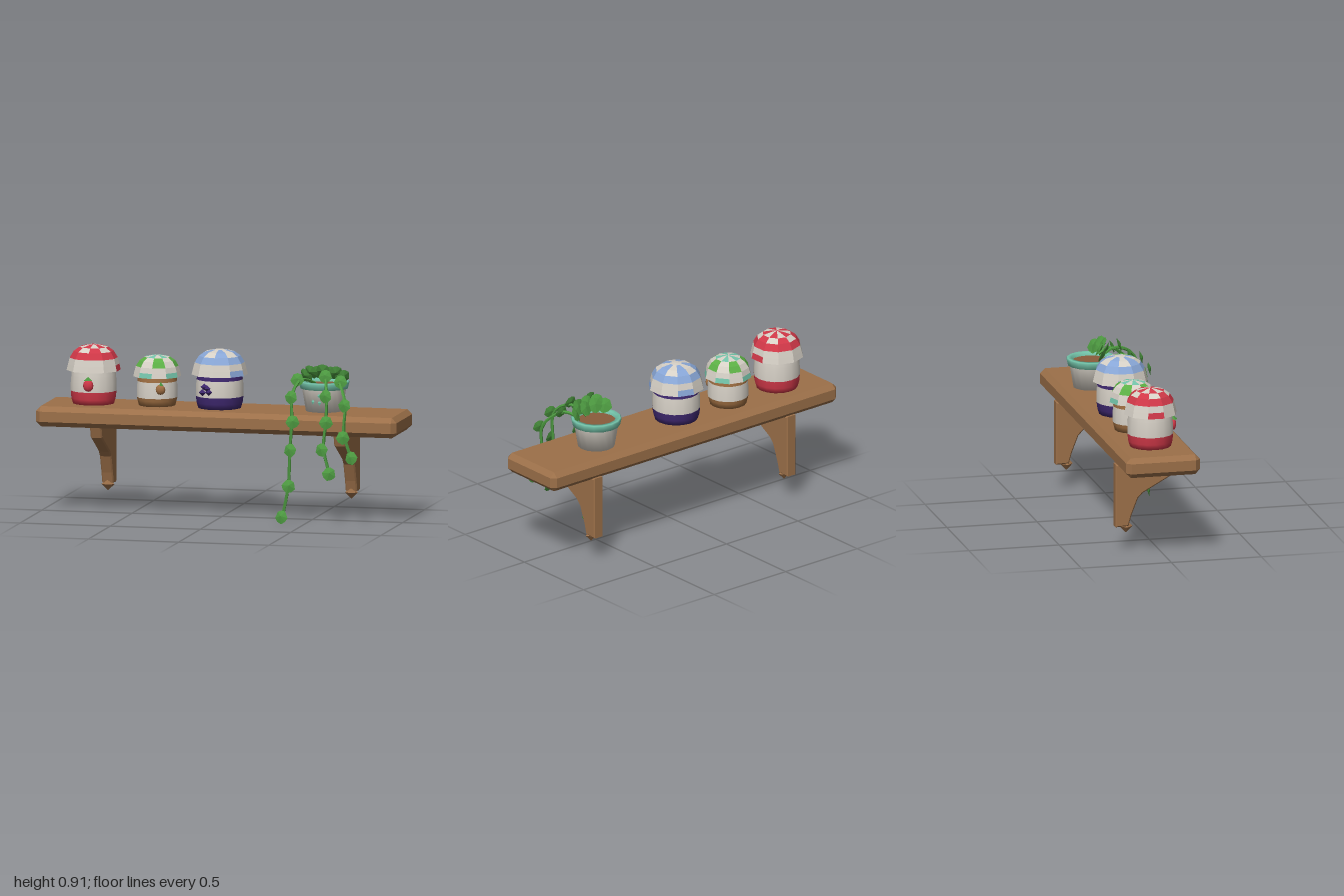
import * as THREE from 'three';
import { ConvexGeometry } from 'three/addons/geometries/ConvexGeometry.js';

const V3 = (x, y, z) => new THREE.Vector3(x, y, z);
const material = (name, color, flatShading = false) =>
  Object.assign(new THREE.MeshStandardMaterial({ color, flatShading }), { name });

export function createModel() {
  const wood = material('wood', 0x9c7049, true);
  const cream = material('cream', 0xd6d0c6);
  const red = material('red', 0xd03848);
  const green = material('green', 0x5cb045);
  const leafGreen = material('leaf green', 0x4c9840, true);
  const blue = material('blue', 0x88a6d6);
  const purple = material('purple', 0x3f2870);
  const teal = material('teal', 0x74c4aa);
  const brown = material('brown', 0xa06f42);
  const soilBrown = material('soil', 0x8a5c3c);

  const model = new THREE.Group();
  const add = (parent, name, geometry, mat, x = 0, y = 0, z = 0) => {
    const mesh = new THREE.Mesh(geometry, mat);
    mesh.name = name;
    mesh.position.set(x, y, z);
    parent.add(mesh);
    return mesh;
  };
  const group = (name, x = 0, y = 0, z = 0) => {
    const g = new THREE.Group();
    g.name = name;
    g.position.set(x, y, z);
    model.add(g);
    return g;
  };
  const lathe = (points, sides) =>
    new THREE.LatheGeometry(points.map(p => new THREE.Vector2(...p)), sides);

  // Box with all edges cut at an angle
  const chamferBox = (w, h, d, c) => {
    const points = [];
    for (const sx of [-1, 1]) for (const sy of [-1, 1]) for (const sz of [-1, 1]) {
      const [x, y, z] = [w / 2, h / 2, d / 2];
      points.push(V3(sx * x, sy * (y - c), sz * (z - c)),
        V3(sx * (x - c), sy * y, sz * (z - c)), V3(sx * (x - c), sy * (y - c), sz * z));
    }
    return new ConvexGeometry(points);
  };

  // Faceted lathe whose cells are painted by rule: paint(side, row)
  const paintedLathe = (points, sides, mats, paint) => {
    const geometry = lathe(points, sides);
    const rows = points.length - 1;
    for (let i = 0; i < sides; i++) for (let j = 0; j < rows; j++)
      geometry.addGroup((i * rows + j) * 6, 6, mats.indexOf(paint(i, j)));
    const flat = geometry.toNonIndexed();
    flat.computeVertexNormals();
    return flat;
  };

  // Shelf board
  add(model, 'shelfBoard', chamferBox(2, 0.11, 0.41, 0.027), wood, 0, 0.535, -0.04);

  // Brackets with a diamond knob
  const profile = new THREE.Shape([[-0.229, 0.143], [-0.17, 0.146], [-0.155, 0.2], [-0.118, 0.295],
    [-0.09, 0.325], [0.09, 0.425], [0.108, 0.478], [-0.229, 0.478]].map(p => new THREE.Vector2(...p)));
  const bracketGeometry = new THREE.ExtrudeGeometry(profile, {
    depth: 0.05, bevelEnabled: true, bevelThickness: 0.007, bevelSize: 0.007, bevelSegments: 1 });
  bracketGeometry.translate(0, 0, -0.025).rotateY(-Math.PI / 2);
  for (const x of [-0.675, 0.675]) {
    const bracket = group(x < 0 ? 'rightBracket' : 'leftBracket', x);
    add(bracket, 'bracketArm', bracketGeometry, wood);
    add(bracket, 'bracketKnob', new THREE.OctahedronGeometry(0.036), wood, 0, 0.133, -0.172);
  }

  // Jars: banded body and a domed, checked lid
  const makeJar = (name, x, z, r, rim, top, bandTop, base, collar, lidMats, paint) => {
    const jar = group(name, x, 0, z);
    const neck = rim - 0.025;
    add(jar, 'jarBase', lathe([[0, 0.59], [r * 0.9, 0.59], [r * 0.97, 0.62], [r, bandTop]], 16), base);
    add(jar, 'jarBody', lathe([[r, bandTop], [r, neck - 0.04], [r * 0.97, neck]], 16), cream);
    add(jar, 'jarCollar', lathe([[r * 0.97, neck], [r * 0.93, rim + 0.02]], 16), collar);
    const R = r * 1.17, h = top - rim;
    const lid = [[r * 0.85, rim + 0.01], [R, rim], [R * 0.95, rim + h * 0.23], [R * 0.89, rim + h * 0.48],
      [R * 0.74, rim + h * 0.74], [R * 0.53, rim + h * 0.9], [R * 0.2, rim + h * 0.98], [0, top]];
    add(jar, 'jarLid', paintedLathe(lid, 10, lidMats, paint), lidMats);
    return jar;
  };

  const redJar = makeJar('redJar', -0.725, -0.05, 0.125, 0.77, 0.91, 0.66, red, cream, [red, cream],
    (i, j) => j < 3 ? (j === 1 && i % 5 === 2 ? red : cream)
      : j === 3 ? red : (i + (j > 4 ? 1 : 0)) % 2 ? cream : red);
  const greenJar = makeJar('greenJar', -0.375, -0.06, 0.111, 0.747, 0.863, 0.635, brown, brown,
    [green, cream, teal],
    (i, j) => j === 1 ? (i % 2 ? teal : cream) : j < 3 ? cream
      : j < 5 ? (i % 2 ? cream : green) : (i % 2 ? teal : cream));
  const blueJar = makeJar('blueJar', -0.025, -0.045, 0.13, 0.77, 0.908, 0.655, purple, purple, [blue, cream],
    (i, j) => j === 1 ? (i % 3 === 1 ? blue : cream) : j < 3 ? cream
      : j === 3 ? blue : j === 6 ? cream : (i % 2 ? cream : blue));

  // Fruit emblems on the jar fronts
  const berry = add(redJar, 'strawberry', new THREE.SphereGeometry(0.029, 8, 6), red, 0, 0.7, 0.125);
  berry.scale.set(1, 1.15, 0.65);
  add(redJar, 'strawberryLeaf', new THREE.ConeGeometry(0.024, 0.02, 5), leafGreen, 0, 0.738, 0.127);
  const nut = add(greenJar, 'roundFruit', new THREE.SphereGeometry(0.028, 8, 6), brown, 0.042, 0.687, 0.102);
  nut.scale.z = 0.65;
  add(greenJar, 'fruitLeaf', new THREE.ConeGeometry(0.012, 0.022, 4), leafGreen, 0.046, 0.72, 0.105);
  for (const [x, y] of [[-0.065, 0.685], [-0.03, 0.688], [-0.055, 0.716], [-0.04, 0.708]])
    add(blueJar, 'grape', new THREE.OctahedronGeometry(0.02, 0), purple, x, y, 0.128);

  // Plant pot
  const pot = group('plantPot', 0.55, 0, -0.063);
  add(pot, 'potBody', lathe([[0, 0.59], [0.1, 0.59], [0.122, 0.72]], 16), cream);
  add(pot, 'potRim', lathe([[0.118, 0.715], [0.13, 0.713], [0.138, 0.745], [0.132, 0.752],
    [0.11, 0.752], [0.106, 0.722]], 16), teal);
  add(pot, 'soil', new THREE.CylinderGeometry(0.11, 0.11, 0.01, 16), soilBrown, 0, 0.727, 0);
  for (const [a, y] of [[-0.35, 0.65], [0, 0.685], [0.35, 0.65], [0, 0.645]]) {
    const r = 0.1 + (y - 0.59) * 0.17;
    const dot = add(pot, 'potDiamond', new THREE.OctahedronGeometry(0.014), teal,
      Math.sin(a) * r, y, Math.cos(a) * r);
    dot.scale.set(0.7, 1.1, 0.3);
    dot.rotation.y = a;
  }

  // Ivy: leaf is a pointed spade with a raised middle
  const leafGeometry = new ConvexGeometry([[0, 0.035], [0.022, 0.028], [0.038, -0.006], [0.024, -0.027],
    [0, -0.04], [-0.024, -0.027], [-0.038, -0.006], [-0.022, 0.028]].map(p => V3(...p, 0))
    .concat([V3(0, 0.004, 0.012), V3(0, 0.004, -0.007)]));
  const ivy = group('ivy');
  const addLeaf = (x, y, z, rx, ry = 0, rz = 0, s = 1) => {
    const leaf = add(ivy, 'ivyLeaf', leafGeometry, leafGreen, x, y, z);
    leaf.rotation.set(rx, ry, rz);
    leaf.scale.setScalar(s);
  };

  // Trailing stems with leaves along them
  const vines = [
    { path: [[0.51, 0.745, -0.01], [0.475, 0.775, 0.07], [0.45, 0.765, 0.14], [0.435, 0.7, 0.2],
      [0.437, 0.57, 0.212], [0.425, 0.4, 0.207], [0.415, 0.21, 0.202], [0.38, 0.035, 0.195]],
      leaves: [[0.437, 0.7, 0.228], [0.445, 0.565, 0.23], [0.43, 0.41, 0.225], [0.42, 0.212, 0.218], [0.378, 0.042, 0.208]] },
    { path: [[0.57, 0.745, -0.01], [0.59, 0.785, 0.07], [0.61, 0.765, 0.15], [0.628, 0.7, 0.205],
      [0.625, 0.57, 0.212], [0.612, 0.42, 0.21], [0.643, 0.285, 0.206]],
      leaves: [[0.628, 0.71, 0.23], [0.63, 0.567, 0.228], [0.605, 0.418, 0.226], [0.645, 0.287, 0.222]] },
    { path: [[0.62, 0.745, -0.01], [0.66, 0.77, 0.06], [0.695, 0.73, 0.13], [0.725, 0.66, 0.183],
      [0.72, 0.5, 0.19], [0.76, 0.365, 0.183]],
      leaves: [[0.727, 0.66, 0.205], [0.718, 0.485, 0.207], [0.763, 0.375, 0.2]] },
  ];
  for (const { path, leaves } of vines) {
    const curve = new THREE.CatmullRomCurve3(path.map(p => V3(...p)));
    add(ivy, 'ivyStem', new THREE.TubeGeometry(curve, 18, 0.009, 5), leafGreen);
    leaves.forEach(([x, y, z], i) => addLeaf(x, y, z, -0.2, (i % 2 ? 0.25 : -0.25), (i % 3 - 1) * 0.25));
  }

  // Leaves over the rim, then the upright tuft in the pot
  for (const [x, y, z] of [[0.445, 0.78, 0.12], [0.595, 0.8, 0.1], [0.675, 0.77, 0.08]])
    addLeaf(x, y, z, -0.3, 0, 0, 1);
  for (let i = 0; i < 7; i++) {
    const t = i / 3 - 1;
    addLeaf(0.56 + t * 0.1, 0.805 + (i % 2) * 0.012 - t * t * 0.02, -0.025 + (i % 2) * 0.025,
      0.5, t * 0.5, -t * 0.5, 1.15);
  }
  return model;
}
